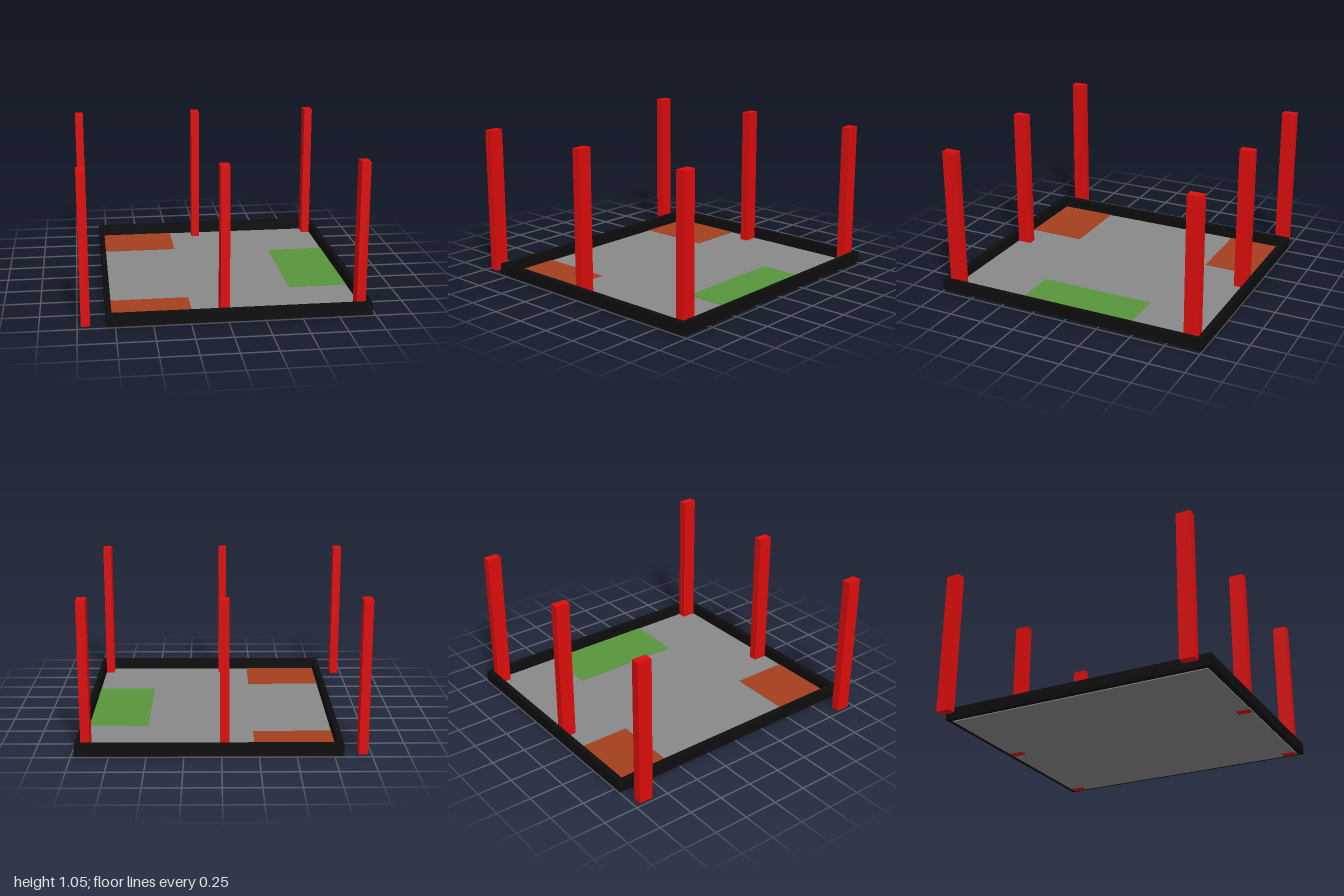
import * as THREE from 'three';

const paint = (color) => new THREE.MeshStandardMaterial({ color });

// Box given by its limits on each axis
function block(name, [x0, x1], [y0, y1], [z0, z1], material) {
  const mesh = new THREE.Mesh(new THREE.BoxGeometry(x1 - x0, y1 - y0, z1 - z0), material);
  mesh.position.set((x0 + x1) / 2, (y0 + y1) / 2, (z0 + z1) / 2);
  mesh.name = name;
  return mesh;
}

function rectangle(Type, x0, x1, z) {
  return new Type([[x0, -z], [x1, -z], [x1, z], [x0, z]].map(([x, y]) => new THREE.Vector2(x, y)));
}

export function createModel() {
  const group = new THREE.Group();
  group.name = 'arena';
  const black = paint(0x0d0d0d);
  const red = paint(0xdd0d0d);
  const orange = paint(0xa43f20);
  const green = paint(0x58953c);

  // Thin floor slab
  group.add(block('floor', [-0.775, 0.94], [0.001, 0.01], [-0.962, 0.962], paint(0x888888)));

  // Low border wall around the floor
  const outline = rectangle(THREE.Shape, -0.812, 0.975, 1);
  outline.holes.push(rectangle(THREE.Path, -0.773, 0.937, 0.96));
  const wall = new THREE.ExtrudeGeometry(outline, { depth: 0.082, bevelEnabled: false });
  wall.rotateX(-Math.PI / 2).translate(0, 0.008, 0);
  const border = new THREE.Mesh(wall, black);
  border.name = 'borderWall';
  group.add(border);

  // Coloured zones lying on the floor
  const layer = [0.009, 0.013];
  group.add(block('backCornerZone', [-0.773, -0.225], layer, [-0.96, -0.54], orange));
  group.add(block('frontCornerZone', [-0.773, -0.225], layer, [0.54, 0.96], orange));
  group.add(block('sideZone', [0.517, 0.937], layer, [-0.42, 0.42], green));

  // Two rows of three posts
  for (const z of [-0.907, 0.907]) {
    for (const x of [-0.945, -0.02, 0.905]) {
      group.add(block('post', [x - 0.031, x + 0.031], [0, 1.055], [z - 0.052, z + 0.052], red));
    }
  }
  return group;
}
